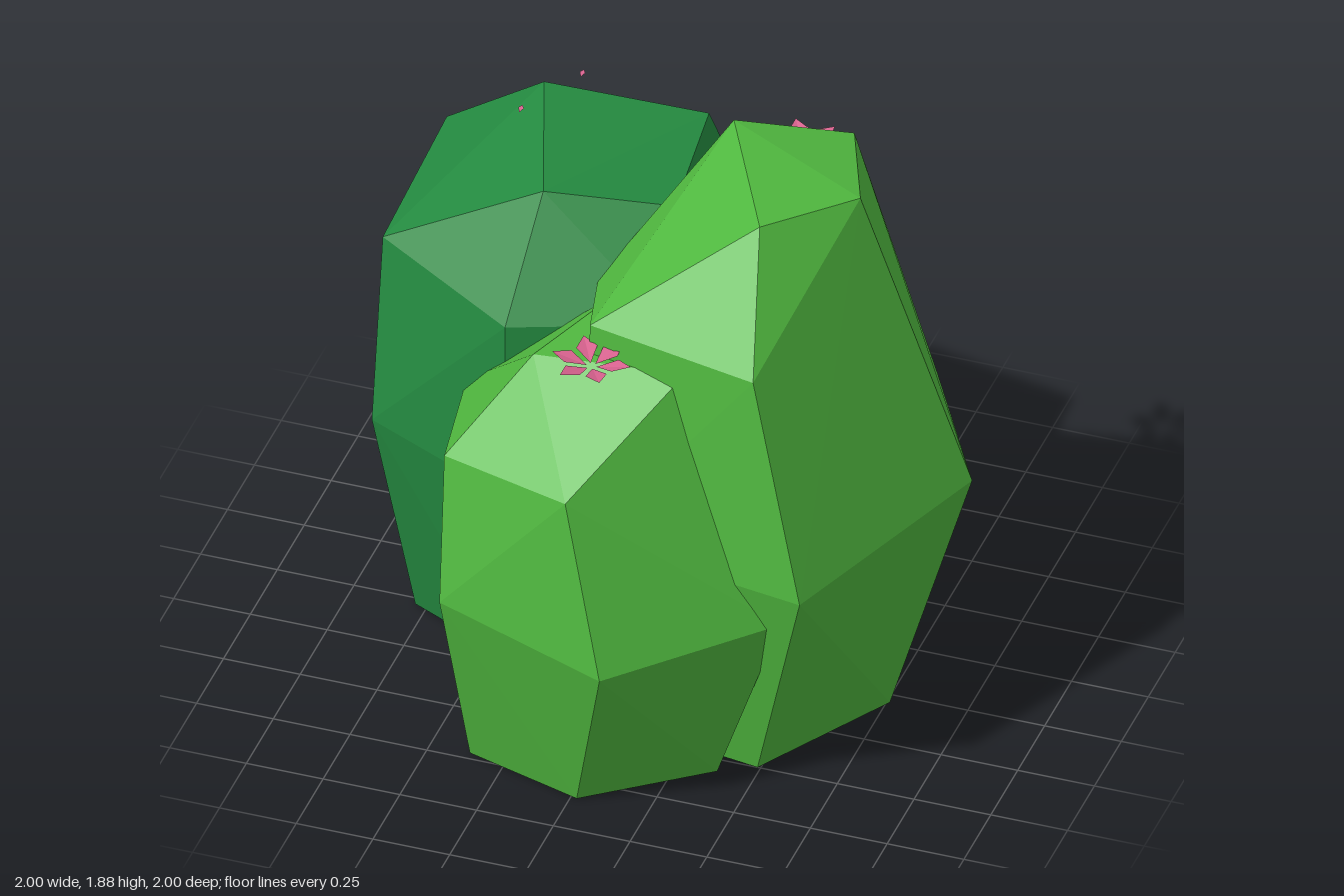
import * as THREE from 'three';
import { ConvexGeometry } from 'three/addons/geometries/ConvexGeometry.js';

const lightGreen = new THREE.MeshStandardMaterial({ color: 0x50b83f });
lightGreen.name = 'light green';
const darkGreen = new THREE.MeshStandardMaterial({ color: 0x248a40 });
darkGreen.name = 'dark green';
const pink = new THREE.MeshStandardMaterial({ color: 0xd9628f, side: THREE.DoubleSide });
pink.name = 'petal pink';

// Faceted stem: a hull around its base, middle, shoulder and crown rings
function stem(name, material, ...rings) {
  const points = rings.flat().map(p => new THREE.Vector3(...p));
  const mesh = new THREE.Mesh(new ConvexGeometry(points), material);
  mesh.name = name;
  return mesh;
}

// Folded kite-shaped petal pointing along +x
function petalGeometry(length) {
  const l = length, w = length * 0.26;
  const geometry = new THREE.BufferGeometry();
  geometry.setAttribute('position', new THREE.Float32BufferAttribute([
    l * 0.12, 0, 0, l * 0.6, l * 0.15, w, l, l * 0.2, 0,
    l * 0.12, 0, 0, l, l * 0.2, 0, l * 0.6, l * 0.15, -w,
  ], 3));
  geometry.computeVertexNormals();
  return geometry;
}

// Open flower with six petals
function flower(name, position, turn) {
  const group = new THREE.Group();
  group.name = name;
  const geometry = petalGeometry(0.128);
  for (let i = 0; i < 6; i++) {
    const petal = new THREE.Mesh(geometry, pink);
    petal.name = 'petal';
    petal.rotation.y = turn + i * Math.PI / 3;
    group.add(petal);
  }
  group.position.set(...position);
  return group;
}

export function createModel() {
  const model = new THREE.Group();
  model.name = 'cactusCluster';

  model.add(stem('tallStem', lightGreen,
    [[0.76, 0, 0.04], [0.49, 0, 0.5], [0, 0, 0.42], [-0.1, 0, 0], [0.1, 0, -0.45], [0.54, 0, -0.44]],
    [[1, 0.84, -0.04], [0.69, 0.78, 0.68], [-0.05, 0.78, 0.56], [-0.2, 0.8, 0.05], [0.05, 0.75, -0.62], [0.67, 0.75, -0.66]],
    [[0.5, 1.5, 0.57], [-0.07, 1.51, 0.46], [-0.18, 1.4, 0.07], [0.05, 1.29, -0.6]],
    [[0.65, 1.85, 0], [0.42, 1.875, 0.28], [0.15, 1.86, -0.25], [0.49, 1.79, -0.4]]));

  model.add(stem('darkStem', darkGreen,
    [[0.1, 0, -0.6], [-0.36, 0, -0.81], [-0.81, 0, -0.57], [-0.79, 0, 0.03], [-0.4, 0, 0.22], [0.2, 0, 0]],
    [[-1, 0.67, -0.69], [-0.9, 0.73, 0.12], [-0.39, 0.7, 0.33], [0.25, 0.7, 0], [0.25, 0.65, -0.8], [-0.38, 0.74, -1]],
    [[-0.94, 1.32, -0.69], [-0.91, 1.33, -0.01], [-0.41, 1.3, 0.28], [0.06, 1.3, 0.1], [0.06, 1.3, -0.61], [-0.41, 1.34, -0.88]],
    [[-0.57, 1.64, -0.54], [-0.38, 1.64, 0.01], [0, 1.58, -0.13], [-0.05, 1.61, -0.59]]));

  model.add(stem('shortStem', lightGreen,
    [[-0.37, 0, 0.72], [0.02, 0, 0.84], [0.38, 0, 0.56], [0.2, 0, 0.2], [-0.3, 0, 0.2]],
    [[-0.42, 0.65, 0.86], [0.15, 0.58, 1], [0.6, 0.63, 0.6], [0.3, 0.65, 0.1], [-0.5, 0.68, 0.15]],
    [[-0.45, 1.11, 0.73], [0, 1.14, 0.89], [0.38, 1.1, 0.5], [-0.58, 0.98, 0.15]],
    [[-0.23, 1.41, 0.53], [0.25, 1.42, 0.49], [0.2, 1.41, 0.2], [-0.1, 1.42, 0.18]]));

  model.add(flower('frontFlower', [-0.03, 1.433, 0.56], 0));
  model.add(flower('backFlower', [0.275, 1.585, -0.54], 0));

  // Two buds just breaking the surface of the dark stem
  for (const [x, y, z] of [[-0.47, 1.645, -0.59], [-0.6, 1.615, -0.39]]) {
    const bud = new THREE.Mesh(petalGeometry(0.035), pink);
    bud.name = 'bud';
    bud.position.set(x, y, z);
    bud.rotation.y = Math.PI / 2;
    model.add(bud);
  }
  return model;
}
